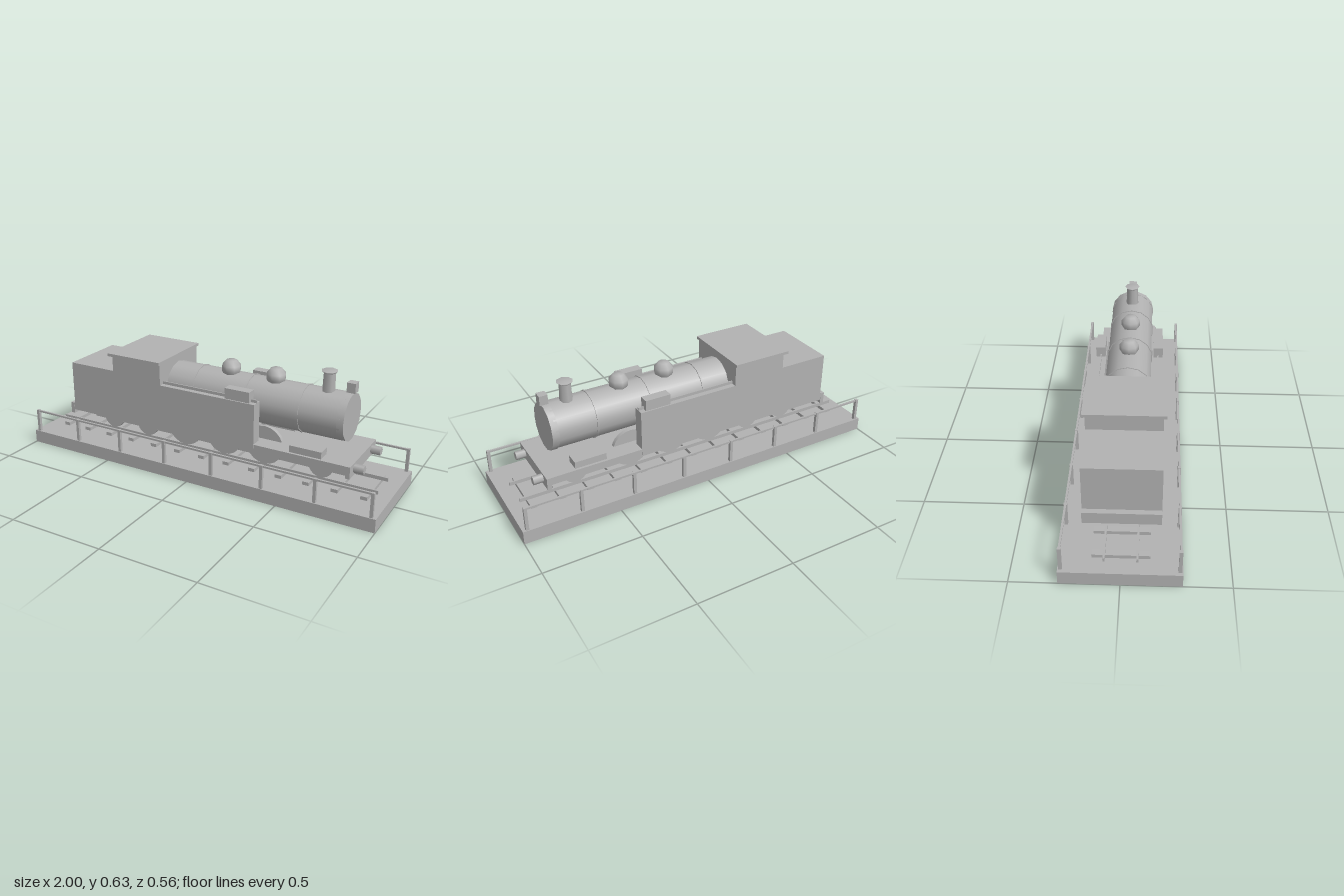
import * as THREE from 'three';

export function createModel() {
  const root = new THREE.Group();
  root.name = 'tankLocomotiveOnPlinth';
  const grey = new THREE.MeshStandardMaterial({ color: 0xb2b2b2, side: THREE.DoubleSide });
  grey.name = 'plainGrey';

  const add = (name, geometry, x = 0, y = 0, z = 0) => {
    const mesh = new THREE.Mesh(geometry, grey);
    mesh.name = name;
    mesh.position.set(x, y, z);
    root.add(mesh);
    return mesh;
  };
  // Box given by its limits on each axis
  const box = (name, x0, x1, y0, y1, z0, z1) =>
    add(name, new THREE.BoxGeometry(x1 - x0, y1 - y0, z1 - z0), (x0 + x1) / 2, (y0 + y1) / 2, (z0 + z1) / 2);
  // Same box on both sides of the centre line
  const pair = (name, x0, x1, y0, y1, z0, z1) => {
    box(name + 'Left', x0, x1, y0, y1, z0, z1);
    box(name + 'Right', x0, x1, y0, y1, -z1, -z0);
  };
  // Cylinder lying along x
  const barrel = (name, x0, x1, y, z, r, sides, turn = 0) => {
    const g = new THREE.CylinderGeometry(r, r, x1 - x0, sides);
    g.rotateY(turn).rotateZ(-Math.PI / 2);
    return add(name, g, (x0 + x1) / 2, y, z);
  };
  const lathe = (name, x, sides, pts) =>
    add(name, new THREE.LatheGeometry(pts.map(p => new THREE.Vector2(...p)), sides), x);

  // Hollow plinth, open underneath
  const plinth = new THREE.BoxGeometry(2, 0.07, 0.556);
  const faces = Array.from(plinth.index.array);
  faces.splice(18, 6);
  plinth.setIndex(faces);
  plinth.clearGroups();
  add('plinth', plinth, 0, 0.035, 0);

  // Fences
  for (let i = 0; i < 8; i++) {
    const x = -0.975 + i * 1.95 / 7;
    pair('fencePost', x - 0.008, x + 0.008, 0.07, 0.195, 0.257, 0.273);
  }
  pair('fenceRail', -0.975, 0.975, 0.184, 0.194, 0.26, 0.27);

  // Track
  for (let i = 0; i < 13; i++) {
    const x = -0.89 + i * 1.78 / 12;
    box('sleeper', x - 0.017, x + 0.017, 0.07, 0.088, -0.132, 0.132);
  }
  pair('trackRail', -0.945, 0.94, 0.088, 0.107, 0.07, 0.08);

  // Chassis
  box('frame', -0.72, 0.775, 0.144, 0.21, -0.077, 0.077);
  box('footplate', -0.79, 0.82, 0.206, 0.246, -0.18, 0.18);
  box('frontBeam', 0.808, 0.83, 0.185, 0.246, -0.181, 0.181);
  box('rearBeam', -0.807, -0.785, 0.185, 0.246, -0.181, 0.181);

  // Wheels: [x, radius], all standing at the same level
  const wheels = [[-0.585, 0.064], [-0.36, 0.064], [-0.12, 0.1025], [0.115, 0.1025], [0.345, 0.1025], [0.65, 0.064]];
  for (const [x, r] of wheels) {
    for (const side of [1, -1]) {
      const g = new THREE.CylinderGeometry(r, r, 0.021, 20);
      g.rotateX(Math.PI / 2);
      add('wheel', g, x, 0.11 + r, side * 0.0785);
    }
  }
  pair('couplingRod', -0.1, 0.34, 0.178, 0.192, 0.108, 0.116);

  // Cab, bunker and side tanks
  box('bunker', -0.78, -0.5, 0.21, 0.482, -0.181, 0.181);
  box('cab', -0.505, -0.21, 0.21, 0.566, -0.181, 0.181);
  box('cabRoof', -0.525, -0.205, 0.565, 0.58, -0.195, 0.195);
  pair('sideTank', -0.22, 0.33, 0.21, 0.455, 0.122, 0.181);
  pair('tankRail', -0.22, 0.33, 0.455, 0.47, 0.147, 0.153);
  pair('tankBox', 0.165, 0.3, 0.456, 0.511, 0.127, 0.176);
  pair('toolBox', 0.515, 0.68, 0.246, 0.281, 0.097, 0.167);

  // Boiler with bands and front ring
  const flat = Math.PI / 2;
  barrel('boiler', -0.22, 0.74, 0.417, 0, 0.118, 14, flat);
  barrel('smokeboxRing', 0.725, 0.76, 0.417, 0, 0.12, 14, 0);
  for (const x of [-0.06, 0.232, 0.525]) barrel('boilerBand', x - 0.005, x + 0.005, 0.417, 0, 0.122, 14, flat);

  // Boiler fittings
  for (const x of [0.107, 0.358]) {
    lathe('dome', x, 8, [[0.036, 0.515], [0.05, 0.54], [0.05, 0.568], [0.028, 0.594], [0, 0.595]]);
  }
  lathe('chimney', 0.635, 8, [[0.034, 0.52], [0.03, 0.62], [0.032, 0.622], [0.041, 0.631], [0, 0.631]]);
  box('headlamp', 0.731, 0.774, 0.545, 0.594, -0.022, 0.022);

  // Buffers
  for (const side of [1, -1]) {
    barrel('buffer', 0.83, 0.88, 0.218, side * 0.119, 0.022, 6, 0);
  }
  return root;
}
